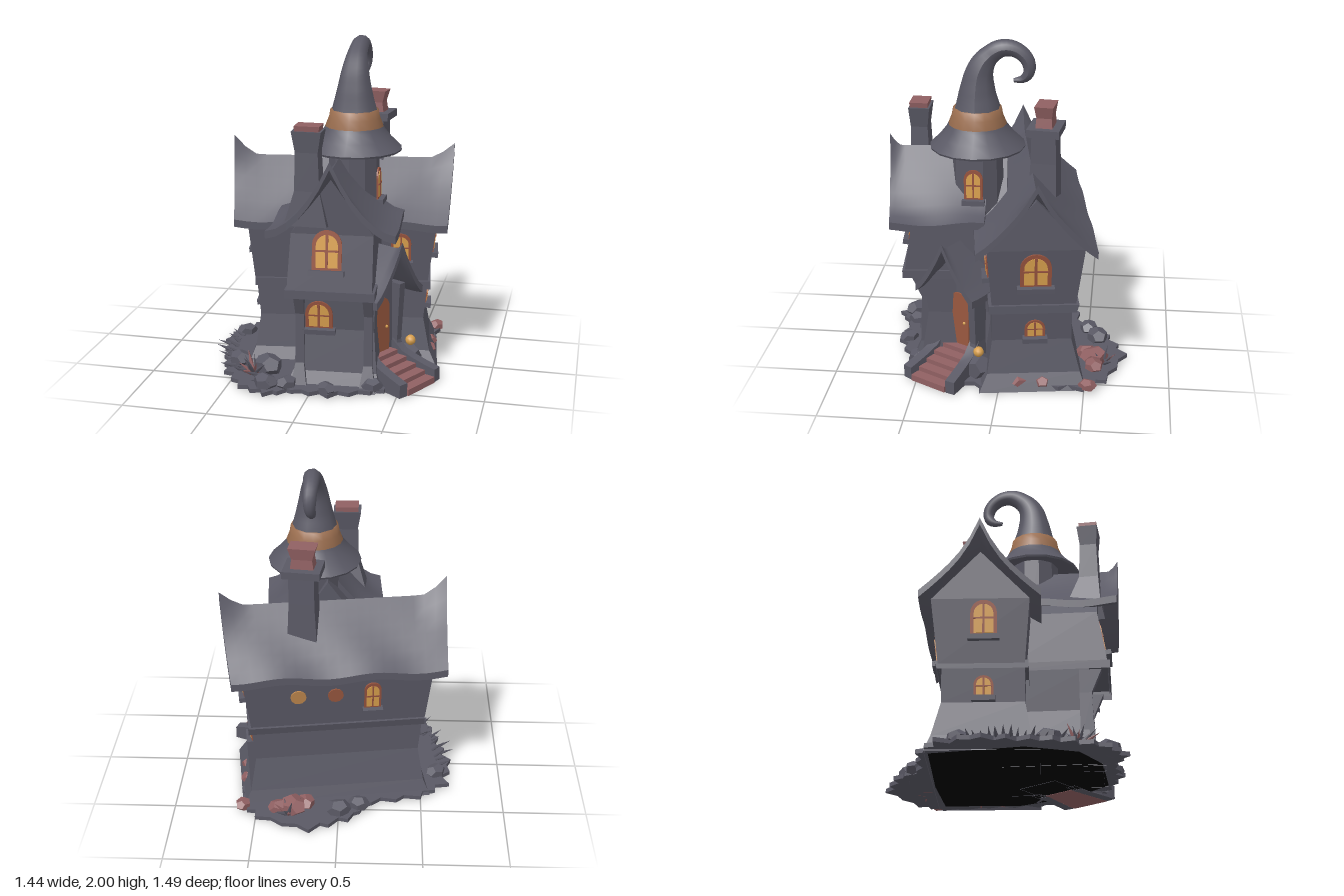
import * as THREE from 'three';
import { toCreasedNormals } from 'three/addons/utils/BufferGeometryUtils.js';

const material = (name, color, side = THREE.FrontSide) => {
  const m = new THREE.MeshStandardMaterial({ color, side });
  m.name = name;
  return m;
};

export function createModel() {
  const slate = material('slate', 0x5a5965, THREE.DoubleSide);
  const brick = material('brick', 0x906062, THREE.DoubleSide);
  const band = material('hatBand', 0x9c6f50, THREE.DoubleSide);
  const doorWood = material('doorWood', 0x99583f);
  const frameRed = material('windowFrame', 0x96533f);
  const glow = material('windowGlow', 0xd9a04e);
  const amber = material('amber', 0xbd874e);
  const black = material('underside', 0x000000, THREE.DoubleSide);

  let seed = 7;
  const rand = () => ((seed = (seed * 16807) % 2147483647) / 2147483647);

  const group = (name, parent, x = 0, y = 0, z = 0, ry = 0) => {
    const g = new THREE.Group();
    g.name = name;
    g.position.set(x, y, z);
    g.rotation.y = ry;
    if (parent) parent.add(g);
    return g;
  };
  const add = (name, parent, geo, mat, x = 0, y = 0, z = 0) => {
    const m = new THREE.Mesh(geo, mat);
    m.name = name;
    m.position.set(x, y, z);
    parent.add(m);
    return m;
  };

  // Four-sided tower of levels [y, x0, x1, z0, z1], open underneath
  const block = (name, parent, levels, mat = slate) => {
    const rings = levels.map(([y, x0, x1, z0, z1]) => [[x0, y, z1], [x1, y, z1], [x1, y, z0], [x0, y, z0]]);
    const p = [];
    for (let i = 0; i < rings.length - 1; i++) {
      for (let j = 0; j < 4; j++) {
        const k = (j + 1) % 4, [a, b] = [rings[i], rings[i + 1]];
        p.push(...a[j], ...a[k], ...b[k], ...a[j], ...b[k], ...b[j]);
      }
    }
    const t = rings[rings.length - 1];
    p.push(...t[0], ...t[1], ...t[2], ...t[0], ...t[2], ...t[3]);
    const geo = new THREE.BufferGeometry();
    geo.setAttribute('position', new THREE.Float32BufferAttribute(p, 3));
    geo.computeVertexNormals();
    return add(name, parent, geo, mat);
  };

  // Swooping gable roof, ridge along x, with upturned ridge tips
  const roof = (name, parent, len, half, ridge, eave, hornA, hornB, power) => {
    const geo = new THREE.BoxGeometry(len, 0.045, half * 2, 20, 1, 12);
    const pos = geo.attributes.position;
    for (let i = 0; i < pos.count; i++) {
      const x = pos.getX(i), z = pos.getZ(i);
      const t = Math.min(1, Math.abs(z) / half), u = x / (len / 2);
      const tip = Math.max(0, (Math.abs(u) - 0.78) / 0.22) ** 1.5;
      const y = pos.getY(i) + eave + (ridge - eave) * (1 - t) ** power
        + tip * (u < 0 ? hornA : hornB) * (1 - t) ** 4 + 0.012 * Math.sin(x * 11 + t * 4) * t;
      pos.setXYZ(i, x * (1 - 0.06 * t), y, z);
    }
    geo.computeVertexNormals();
    return add(name, parent, toCreasedNormals(geo, 0.5), slate);
  };

  const archGeo = (w, h) => {
    const s = new THREE.Shape();
    s.moveTo(-w / 2, 0);
    s.lineTo(w / 2, 0);
    s.lineTo(w / 2, h - w / 2);
    s.absarc(0, h - w / 2, w / 2, 0, Math.PI, false);
    s.closePath();
    return new THREE.ExtrudeGeometry(s, { depth: 0.009, bevelEnabled: false, curveSegments: 6 });
  };
  // Arched window: frame plate, glowing pane, cross bars and a sill
  const archWindow = (parent, x, y, z, w, h, ry = 0, tilt = 0) => {
    const g = group('window', parent, x, y, z, ry);
    g.rotation.order = 'YXZ';
    g.rotation.x = tilt;
    add('windowFrame', g, archGeo(w, h), frameRed);
    add('windowPane', g, archGeo(w * 0.74, h * 0.82), glow, 0, h * 0.06, 0.004);
    add('uprightBar', g, new THREE.BoxGeometry(w * 0.09, h * 0.85, 0.008), frameRed, 0, h * 0.47, 0.012);
    add('crossBar', g, new THREE.BoxGeometry(w * 0.8, h * 0.05, 0.008), frameRed, 0, h * 0.48, 0.012);
    add('sill', g, new THREE.BoxGeometry(w * 1.2, 0.03, 0.05), slate, 0, -0.015, 0.015);
  };

  const house = group('crookedHouse');

  // Main hall across the back
  const hall = group('mainHall', house, 0.04, 0, -0.13, 0.15);
  block('hallLowerWalls', hall, [[0, -0.56, 0.59, -0.3, 0.33], [0.1, -0.52, 0.54, -0.265, 0.28],
    [0.3, -0.49, 0.5, -0.215, 0.25], [0.5, -0.51, 0.52, -0.215, 0.25]]);
  block('hallFloorLedge', hall, [[0.49, -0.52, 0.54, -0.24, 0.27], [0.54, -0.52, 0.54, -0.255, 0.27]]);
  block('hallUpperWalls', hall, [[0.52, -0.52, 0.52, -0.235, 0.25], [0.9, -0.56, 0.57, -0.28, 0.28],
    [1.2, -0.56, 0.57, 0, 0]]);
  roof('hallRoof', hall, 1.34, 0.345, 1.22, 0.9, 0.12, 0.09, 1.12);
  archWindow(hall, 0.545, 0.67, 0, 0.18, 0.21, Math.PI / 2, 0.11);
  archWindow(hall, 0.508, 0.33, 0, 0.12, 0.11, Math.PI / 2, 0.1);
  archWindow(hall, -0.538, 0.68, 0.02, 0.15, 0.21, -Math.PI / 2, 0.1);
  archWindow(hall, -0.498, 0.33, 0.02, 0.11, 0.12, -Math.PI / 2, 0.1);
  archWindow(hall, 0.36, 0.67, 0.264, 0.12, 0.17, 0, 0.08);
  archWindow(hall, -0.2, 0.65, -0.254, 0.1, 0.18, Math.PI, 0.118);
  [[0.24, amber], [0.02, doorWood]].forEach(([x, mat]) => {
    const disc = add('roundWindow', hall, new THREE.CylinderGeometry(0.047, 0.047, 0.009, 12), mat, x, 0.75, -0.266);
    disc.rotation.x = Math.PI / 2 - 0.118;
  });

  // Front wing with an overhanging upper floor
  const wing = group('frontWing', house, 0.08, 0, 0, 0.08);
  block('wingLowerWalls', wing, [[0, -0.28, 0.28, 0, 0.56], [0.1, -0.24, 0.25, 0, 0.51],
    [0.35, -0.21, 0.23, 0, 0.47], [0.6, -0.23, 0.24, 0, 0.5]]);
  block('wingFloorLedge', wing, [[0.58, -0.27, 0.245, 0, 0.62], [0.63, -0.27, 0.245, 0, 0.62]]);
  block('wingUpperWalls', wing, [[0.6, -0.26, 0.23, 0, 0.61], [0.95, -0.24, 0.23, 0, 0.555], [1.29, 0, 0, 0, 0.57]]);
  const wingRoof = roof('wingRoof', wing, 0.58, 0.365, 1.31, 0.96, 0, 0.07, 1.5);
  wingRoof.position.set(0, 0, 0.4);
  wingRoof.rotation.y = -Math.PI / 2;
  archWindow(wing, -0.03, 0.75, 0.588, 0.17, 0.23, 0, -0.155);
  archWindow(wing, -0.09, 0.36, 0.474, 0.16, 0.17, 0, 0.12);
  // Corner props beneath the overhang
  for (const x of [-0.2, 0.2]) block('cornerProp', wing, [[0, x - 0.05, x + 0.05, 0.45, 0.58],
    [0.15, x - 0.025, x + 0.025, 0.44, 0.52], [0.45, x - 0.025, x + 0.025, 0.44, 0.51], [0.59, x - 0.03, x + 0.03, 0.44, 0.57]]);

  // Chimneys
  block('frontChimney', house, [[1.0, -0.15, 0.1, 0.4, 0.6], [1.2, -0.09, 0.055, 0.47, 0.585],
    [1.42, -0.085, 0.045, 0.48, 0.58], [1.54, -0.105, 0.065, 0.465, 0.59]]);
  block('frontChimneyPot', house, [[1.5, -0.085, 0.045, 0.48, 0.575], [1.57, -0.09, 0.055, 0.475, 0.585]], brick);
  const stack = group('backChimney', house, 0.21, 0, -0.235, -0.12);
  block('chimneyStack', stack, [[1.0, -0.09, 0.09, -0.08, 0.09], [1.3, -0.075, 0.075, -0.075, 0.075],
    [1.47, -0.075, 0.075, -0.07, 0.07]]);
  add('chimneySlab', stack, new THREE.BoxGeometry(0.22, 0.045, 0.19), slate, 0, 1.49, 0);
  block('chimneyPot', stack, [[1.5, -0.07, 0.07, -0.05, 0.05], [1.57, -0.06, 0.06, -0.045, 0.045],
    [1.64, -0.08, 0.08, -0.055, 0.055]], brick);

  // Round tower wearing a curled pointed hat
  const tower = group('tower', house, 0.165, 0, 0.165);
  add('towerWall', tower, toCreasedNormals(new THREE.CylinderGeometry(0.145, 0.155, 0.6, 10, 1, true), 0.3), slate, 0, 1.12, 0);
  archWindow(tower, 0.146, 1.08, 0.01, 0.11, 0.18, Math.PI / 2, -0.015);
  const lathe = (pts) => new THREE.LatheGeometry(pts.map(([r, y]) => new THREE.Vector2(r, y)), 16);
  const brim = lathe([[0.12, 1.41], [0.2, 1.39], [0.275, 1.36], [0.28, 1.372], [0.22, 1.43], [0.18, 1.48], [0.165, 1.51]]);
  add('hatBrim', tower, toCreasedNormals(brim, 0.7), slate);
  add('hatBand', tower, lathe([[0.16, 1.485], [0.174, 1.49], [0.15, 1.55], [0.142, 1.595], [0.12, 1.597]]), band);
  const path = new THREE.CatmullRomCurve3([[0, 1.58, 0], [0, 1.7, 0], [0, 1.81, -0.015], [0, 1.89, -0.06],
    [0.005, 1.947, -0.14], [0.005, 1.942, -0.22], [0.01, 1.89, -0.285], [0.01, 1.82, -0.3],
    [0, 1.77, -0.265], [0, 1.76, -0.21]].map((p) => new THREE.Vector3(...p)));
  const radii = [0.137, 0.113, 0.093, 0.076, 0.058, 0.05, 0.044, 0.039, 0.031, 0.012];
  const tip = new THREE.TubeGeometry(path, 36, 1, 10, false);
  const tp = tip.attributes.position, v = new THREE.Vector3();
  for (let i = 0; i < tp.count; i++) {
    const t = Math.floor(i / 11) / 36, c = path.getPointAt(t);
    const s = t * 9, k = Math.min(8, Math.floor(s));
    const r = radii[k] + (radii[k + 1] - radii[k]) * (s - k);
    v.fromBufferAttribute(tp, i).sub(c).multiplyScalar(r).add(c);
    tp.setXYZ(i, v.x, v.y, v.z);
  }
  tip.computeVertexNormals();
  add('hatCurl', tower, tip, slate);

  // Porch, door and steps on the left-hand corner
  const porch = group('porch', house, 0.34, 0, 0.26, 1.06);
  block('porchWalls', porch, [[0, -0.13, 0.13, -0.2, 0.01], [0.54, -0.12, 0.12, -0.2, 0.01], [0.78, 0, 0, -0.2, 0.01]]);
  add('door', porch, archGeo(0.15, 0.34), doorWood, 0, 0.15, 0.01);
  add('doorHandle', porch, new THREE.SphereGeometry(0.01, 6, 4), glow, 0.045, 0.3, 0.022);
  const porchRoof = roof('porchRoof', porch, 0.36, 0.21, 0.8, 0.53, 0, 0.04, 1.15);
  porchRoof.position.z = -0.01;
  porchRoof.rotation.y = -Math.PI / 2;
  for (let i = 0; i < 5; i++) {
    const top = 0.15 - i * 0.028;
    add('step', porch, new THREE.BoxGeometry(0.19 + i * 0.014, top, 0.065), brick, 0, top / 2, 0.035 + i * 0.065);
  }
  for (const s of [-1, 1]) {
    const x = s * 0.13;
    block('porchPost', porch, [[0, x - 0.03, x + 0.03, -0.05, 0.1], [0.2, x - 0.02, x + 0.02, -0.05, 0.05],
      [0.56, x - 0.025, x + 0.025, -0.05, 0.07]]);
    const cheek = new THREE.BoxGeometry(0.06, 0.2, 0.3, 1, 1, 4);
    const cp = cheek.attributes.position;
    for (let i = 0; i < cp.count; i++) {
      const out = Math.max(0, cp.getZ(i) / 0.3 + 0.5);
      if (cp.getY(i) > 0) cp.setY(i, 0.11 - 0.13 * Math.sqrt(out));
    }
    cheek.computeVertexNormals();
    add('stairCheek', porch, toCreasedNormals(cheek, 0.5), slate, s * 0.14, 0.1, 0.17).rotation.y = s * 0.12;
  }
  // Lantern on a boulder beside the steps
  const boulder = add('boulder', house, new THREE.DodecahedronGeometry(0.09), slate, 0.49, 0.08, 0.13);
  boulder.rotation.y = 0.6;
  add('lantern', house, new THREE.SphereGeometry(0.032, 8, 6), glow, 0.51, 0.185, 0.13);

  // Ragged ground skirt with a dark underside beneath the house
  const edge = [[-0.68, -0.26], [-0.7, 0.0], [-0.63, 0.25], [-0.56, 0.48], [-0.42, 0.66], [-0.25, 0.74], [-0.1, 0.66],
    [0.12, 0.68], [0.35, 0.58], [0.5, 0.5], [0.56, 0.3], [0.64, 0.1], [0.6, -0.2], [0.61, -0.5], [0.5, -0.63],
    [0.17, -0.75], [-0.06, -0.64], [-0.2, -0.47], [-0.5, -0.4]];
  const shape = new THREE.Shape();
  edge.forEach(([x, z], i) => {
    const [nx, nz] = edge[(i + 1) % edge.length];
    for (let k = 0; k < 4; k++) {
      const f = k / 4, s = k % 2 ? 0.92 + rand() * 0.05 : 1;
      const px = (x + (nx - x) * f) * s, pz = (z + (nz - z) * f) * s;
      if (i + k === 0) shape.moveTo(px, -pz); else shape.lineTo(px, -pz);
    }
  });
  const outline = (pts) => pts.map(([x, z]) => new THREE.Vector2(x, -z));
  shape.holes.push(new THREE.Path(outline([[-0.46, -0.28], [0.48, -0.42], [0.55, 0.03], [0.38, 0.3], [0.28, 0.48],
    [-0.14, 0.51], [-0.16, 0.22], [-0.4, 0.22]])));
  const ground = new THREE.ExtrudeGeometry(shape, { depth: 0.025, bevelEnabled: false });
  add('ground', house, ground.rotateX(-Math.PI / 2), slate, 0, 0.005, 0);
  const floor = new THREE.ShapeGeometry(new THREE.Shape(outline([[-0.5, -0.33], [0.1, -0.43], [0.5, -0.46], [0.57, 0.0],
    [0.45, 0.35], [0.25, 0.57], [-0.15, 0.58], [-0.38, 0.48], [-0.52, 0.2]])));
  add('underside', house, floor.rotateX(-Math.PI / 2), black, 0, 0.002, 0);

  // Rocks around the base: [x, z, radius, material]
  [[0.57, -0.12, 0.06, brick], [0.56, -0.25, 0.055, brick], [0.58, -0.52, 0.05, brick], [0.27, -0.55, 0.08, brick],
    [0.36, -0.55, 0.06, brick], [0.2, -0.5, 0.06, brick], [0.0, -0.56, 0.07, slate], [-0.12, -0.5, 0.06, slate],
    [-0.26, 0.63, 0.07, slate], [-0.14, 0.6, 0.06, slate], [0.1, 0.62, 0.055, slate], [0.35, 0.52, 0.06, slate],
    [-0.5, 0.33, 0.07, slate], [-0.3, 0.42, 0.09, slate], [-0.6, -0.15, 0.06, slate]].forEach(([x, z, r, m]) => {
    const rock = add('rock', house, new THREE.DodecahedronGeometry(r), m, x, r * 0.75, z);
    rock.scale.set(1.15, 0.75, 0.95);
    rock.rotation.y = rand() * 6;
  });

  // Spiky bushes and grass blades
  const spike = (name, x, z, h, lean, turn, m) => {
    const holder = group(name, house, x, 0.03, z, turn);
    const geo = new THREE.ConeGeometry(h * 0.16, h, 4).translate(0, h / 2, 0);
    add(name + 'Blade', holder, geo, m).rotation.x = lean;
  };
  for (let i = 0; i < 12; i++) {
    spike('thornBush', -0.38, 0.47, 0.1 + rand() * 0.05, 0.4 + rand() * 0.8, i * 0.55, i % 2 ? brick : slate);
    spike('deadBush', 0.3, -0.6, 0.08 + rand() * 0.05, 0.3 + rand() * 0.8, i * 0.55, i % 3 ? slate : brick);
  }
  for (let i = 0; i < 26; i++) {
    const a = -0.25 + (i / 25) * 1.5, r = 0.59 + rand() * 0.06;
    spike('grass', -Math.cos(a) * r, Math.sin(a) * r, 0.06 + rand() * 0.04, 0.9 + rand() * 0.4, -Math.PI / 2 + a, slate);
  }
  return house;
}
